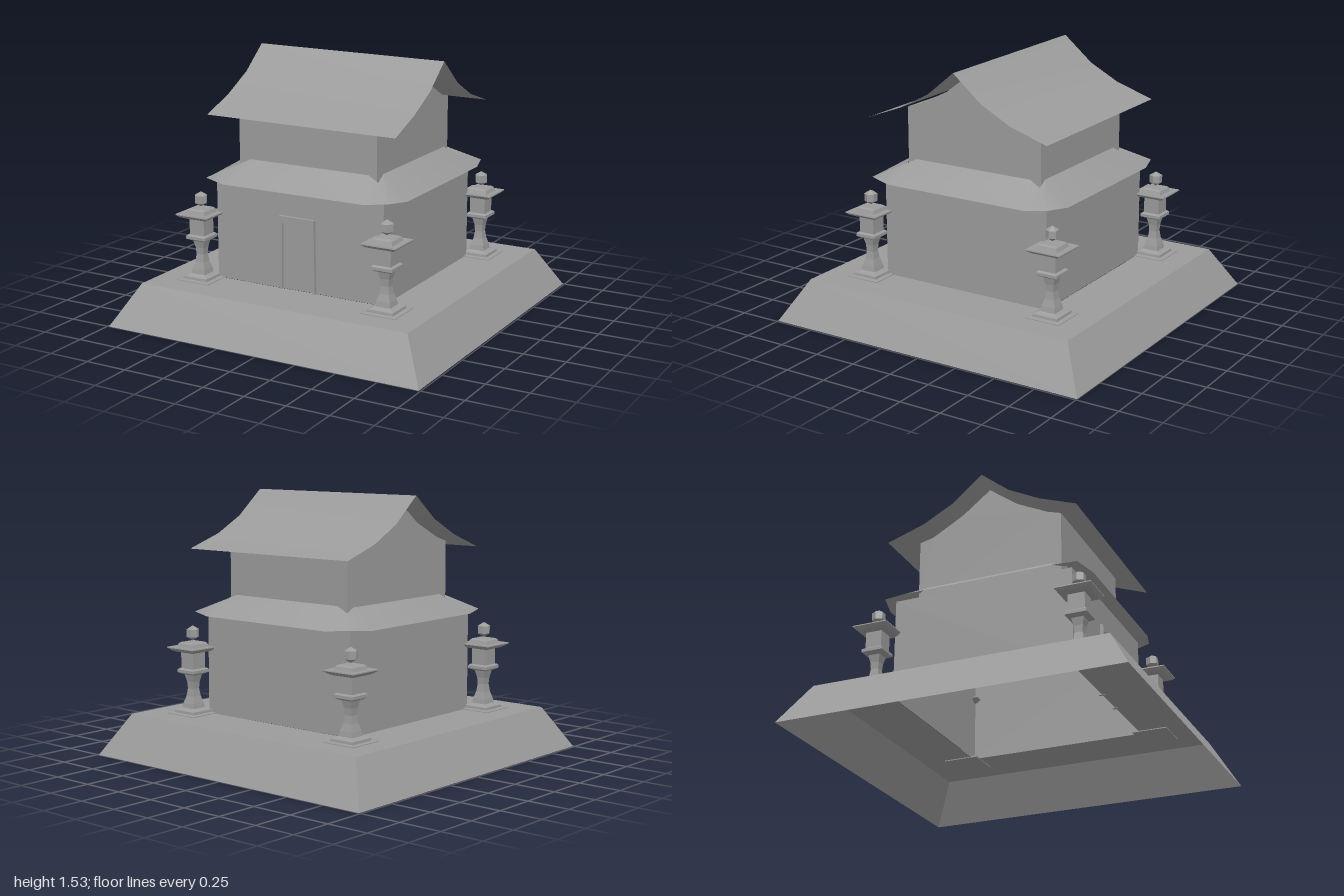
import * as THREE from 'three';
import { toCreasedNormals } from 'three/addons/utils/BufferGeometryUtils.js';

const material = new THREE.MeshStandardMaterial({
  color: 0x9b9b9b, flatShading: true, side: THREE.DoubleSide,
});
const roofMaterial = new THREE.MeshStandardMaterial({ color: 0x9b9b9b, side: THREE.DoubleSide });

function part(name, geometry, parent, x = 0, y = 0, z = 0) {
  const mesh = new THREE.Mesh(geometry, material);
  mesh.name = name;
  mesh.position.set(x, y, z);
  parent.add(mesh);
  return mesh;
}

// Square-section solid: profile of [half width, height]
function squareLathe(profile) {
  const points = profile.map(([r, y]) => new THREE.Vector2(r * Math.SQRT2, y));
  return new THREE.LatheGeometry(points, 4, Math.PI / 4);
}

// Sheet of quads between two rows of points, smooth across shallow bends
function loft(a, b) {
  const positions = [];
  for (let i = 0; i < a.length - 1; i++) {
    positions.push(...a[i], ...a[i + 1], ...b[i + 1], ...a[i], ...b[i + 1], ...b[i]);
  }
  const geometry = new THREE.BufferGeometry();
  geometry.setAttribute('position', new THREE.Float32BufferAttribute(positions, 3));
  return toCreasedNormals(geometry, 0.6);
}

// Profile of [z, y] swept along x
const sweep = (profile, x0, x1) => loft(
  profile.map(([z, y]) => [x1, y, z]),
  profile.map(([z, y]) => [x0, y, z]),
);

// Side outline of [x, y, z] repeated round the four sides and closed
function ring(quarter) {
  const points = [];
  for (let k = 0; k < 4; k++) {
    for (const [x, y, z] of quarter) {
      const c = [1, 0, -1, 0][k], s = [0, 1, 0, -1][k];
      points.push([x * c + z * s, y, z * c - x * s]);
    }
  }
  points.push(points[0]);
  return points;
}

function createLantern() {
  const lantern = new THREE.Group();
  lantern.name = 'lantern';
  part('lanternFoot', squareLathe([
    [0, 0.237], [0.106, 0.237], [0.106, 0.246], [0.079, 0.249], [0.077, 0.264],
    [0.06, 0.27], [0.05, 0.277], [0, 0.277],
  ]), lantern);
  part('lanternShaft', squareLathe([
    [0.047, 0.272], [0.041, 0.305], [0.029, 0.345], [0.023, 0.39],
    [0.026, 0.43], [0.036, 0.472],
  ]), lantern);
  part('lanternShelf', squareLathe([
    [0, 0.47], [0.045, 0.474], [0.064, 0.485], [0.064, 0.502], [0.054, 0.51], [0, 0.51],
  ]), lantern);
  part('lanternBox', new THREE.BoxGeometry(0.097, 0.11, 0.097), lantern, 0, 0.56, 0);
  part('lanternRoof', squareLathe([
    [0, 0.607], [0.07, 0.607], [0.088, 0.615], [0.106, 0.63], [0.105, 0.636],
    [0.066, 0.634], [0.058, 0.655], [0.048, 0.663], [0, 0.663],
  ]), lantern);
  part('lanternFinial', new THREE.SphereGeometry(0.044, 6, 3), lantern, 0, 0.715, 0);
  return lantern;
}

export function createModel() {
  const model = new THREE.Group();
  model.name = 'shrine';

  // Hollow sloping platform and lower walls, open underneath
  const platform = part('platform', squareLathe([[1, 0], [0.86, 0.242], [0.54, 0.242]]), model);
  platform.scale.x = 0.99;
  part('lowerWalls', squareLathe([[0.538, 0.242], [0.538, 0.83], [0.443, 0.83]]), model);

  // Door frame
  const frame = new THREE.Shape([
    [-0.115, 0.24], [-0.1, 0.24], [-0.095, 0.63], [0.095, 0.63],
    [0.098, 0.24], [0.115, 0.24], [0.11, 0.67], [-0.115, 0.67],
  ].map(([x, y]) => new THREE.Vector2(x, y)));
  part('doorFrame', new THREE.ExtrudeGeometry(frame, { depth: 0.035, bevelEnabled: false }),
    model, 0, 0, 0.522);

  // Skirt roof with softened, lifted corners
  const lowerRoof = part('lowerRoof', loft(
    ring([[-0.45, 0.825, 0.627], [0.45, 0.825, 0.627], [0.585, 0.838, 0.59]]),
    ring([[-0.38, 0.94, 0.44], [0.38, 0.94, 0.44], [0.445, 0.905, 0.445]]),
  ), model, 0.01, 0, 0);
  lowerRoof.material = roofMaterial;

  // Upper storey with curved gables
  const gable = [
    [0.44, 0.83], [0.44, 1.24], [0.36, 1.265], [0.17, 1.36], [0, 1.49],
    [-0.17, 1.36], [-0.36, 1.255], [-0.444, 1.235], [-0.444, 0.83],
  ];
  part('upperWalls', sweep(gable, -0.443, 0.443), model);
  const gableShape = new THREE.Shape(gable.map(([z, y]) => new THREE.Vector2(-z, y)));
  for (const side of [-1, 1]) {
    const end = part('gableEnd', new THREE.ShapeGeometry(gableShape), model, side * 0.443, 0, 0);
    end.rotation.y = Math.PI / 2;
  }

  // Thin curved main roof, sagging very slightly to one end
  const mainRoof = part('mainRoof', sweep([
    [0.58, 1.202], [0.36, 1.285], [0.17, 1.385], [0, 1.525],
    [-0.18, 1.375], [-0.36, 1.28], [-0.59, 1.205],
  ], -0.572, 0.62), model);
  mainRoof.rotation.z = -0.005;
  mainRoof.material = roofMaterial;

  // Lanterns at the four corners
  for (const x of [-0.606, 0.594]) {
    for (const z of [-0.61, 0.605]) {
      const lantern = createLantern();
      lantern.position.set(x, 0, z);
      model.add(lantern);
    }
  }
  return model;
}
